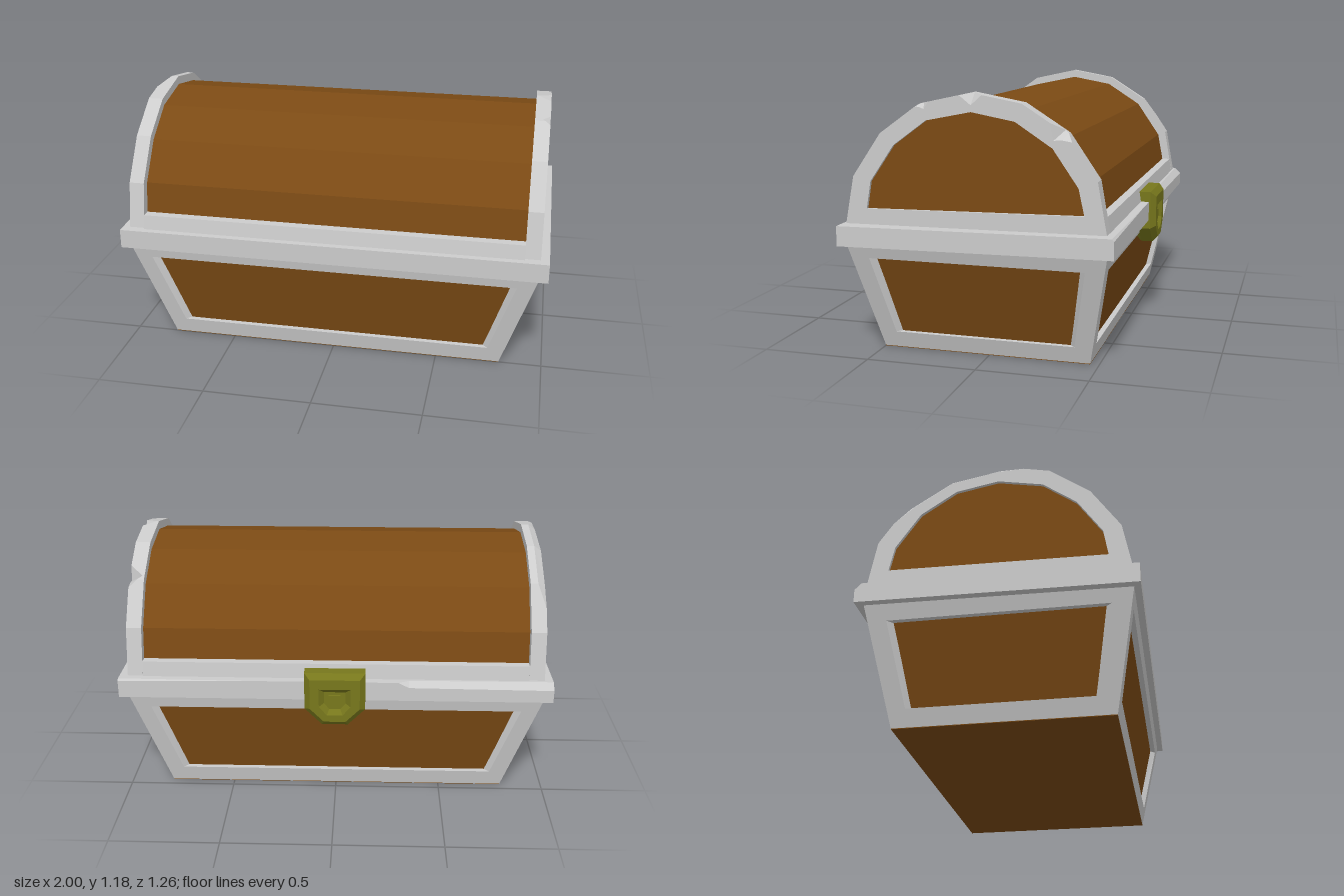
import * as THREE from 'three';

const paint = (color) => new THREE.MeshStandardMaterial({ color, flatShading: true });
const ZC = 0.02; // depth centre of the body, which sits slightly forward

// Lid outlines as [z, y], front to back: outer edge and inner edge of the end arches
const OUTER = [[0.6, 0.6], [0.56, 0.81], [0.43, 1.0], [0.25, 1.13], [0.02, 1.18], [-0.2, 1.14], [-0.39, 1.02], [-0.52, 0.83], [-0.56, 0.61]];
const INNER = [[0.5, 0.67], [0.48, 0.79], [0.37, 0.95], [0.22, 1.06], [0.02, 1.1], [-0.17, 1.065], [-0.33, 0.96], [-0.44, 0.8], [-0.465, 0.685]];
const mix = (p, q, t) => [p[0] + (q[0] - p[0]) * t, p[1] + (q[1] - p[1]) * t];
const along = (line, s) => {
  const i = Math.min(Math.floor(s), line.length - 2);
  return mix(line[i], line[i + 1], s - i);
};

function mesh(name, geometry, material) {
  const m = new THREE.Mesh(geometry, material);
  m.name = name;
  return m;
}

// Skin a list of equal cross-sections; closed joins last to first, otherwise ends are capped
function loft(rings, closed, flip = false) {
  const n = rings[0].length, count = rings.length, index = [];
  const tri = (a, b, c) => (flip ? index.push(a, c, b) : index.push(a, b, c));
  for (let i = 0; i < (closed ? count : count - 1); i++) {
    for (let j = 0; j < n; j++) {
      const k = (j + 1) % n, r = i * n, q = ((i + 1) % count) * n;
      tri(r + j, r + k, q + k);
      tri(r + j, q + k, q + j);
    }
  }
  if (!closed) {
    const e = (count - 1) * n;
    for (let j = 1; j < n - 1; j++) {
      tri(0, j + 1, j);
      tri(e, e + j, e + j + 1);
    }
  }
  const g = new THREE.BufferGeometry();
  g.setAttribute('position', new THREE.Float32BufferAttribute(rings.flat(2), 3));
  g.setIndex(index);
  const flat = g.toNonIndexed();
  flat.computeVertexNormals();
  return flat;
}

function reshape(geometry, rule) {
  const p = geometry.attributes.position, v = new THREE.Vector3();
  for (let i = 0; i < p.count; i++) {
    rule(v.fromBufferAttribute(p, i));
    p.setXYZ(i, v.x, v.y, v.z);
  }
  geometry.computeVertexNormals();
  return geometry;
}

const polygon = (points, Kind = THREE.Shape) => new Kind(points.map(([x, y]) => new THREE.Vector2(x, y)));

// Leaning trapezoid frame with an opening, mitred towards its neighbours
function sideFrame(halfW, spread, out, lean, low, high) {
  const y0 = 0.003, y1 = 0.53, D = 0.035;
  const shape = polygon([[-halfW, y0], [halfW, y0], [halfW + spread * y1, y1], [-halfW - spread * y1, y1]]);
  shape.holes.push(polygon([[-low, 0.08], [-high, 0.445], [high, 0.445], [low, 0.08]], THREE.Path));
  return reshape(new THREE.ExtrudeGeometry(shape, { depth: D, bevelEnabled: false }), (v) => {
    const k = D - v.z;
    v.x *= 1 - k / halfW;
    v.z = out + lean * v.y - k;
  });
}

// Extrude a [z, y] outline across the width
function acrossWidth(points, halfX) {
  const shape = polygon(points.map(([z, y]) => [-z, y]));
  const g = new THREE.ExtrudeGeometry(shape, { depth: halfX * 2, bevelEnabled: false });
  return g.translate(0, 0, -halfX).rotateY(Math.PI / 2);
}

// End arch of the lid; chips pare the outer edge: centre, reach, ramp, cut across, cut down
function lidArch(side, chips) {
  const stops = new Set(OUTER.map((_, i) => i));
  for (const c of chips) [-c.reach, c.ramp - c.reach, c.reach - c.ramp, c.reach].forEach((d) => stops.add(c.at + d));
  const rings = [...stops].sort((a, b) => a - b).map((s) => {
    let cutX = 0, cutY = 0;
    for (const c of chips) {
      const w = THREE.MathUtils.clamp((c.reach - Math.abs(s - c.at)) / c.ramp, 0, 1);
      cutX += w * c.across;
      cutY += w * c.down;
    }
    const o = along(OUTER, s), n = along(INNER, s), b = mix(o, n, cutY / 0.085);
    return [[0.89, o], [0.96 - cutX, o], [0.96, b], [0.96, n], [0.89, n]].map(([x, [z, y]]) => [side * x, y, z]);
  });
  return loft(rings, true, side < 0);
}

export function createModel() {
  const wood = paint(0x7b4a14), iron = paint(0xcccccc), brass = paint(0x77771c);
  const chest = new THREE.Group();
  chest.name = 'chest';

  // Body: wooden tub, floor and four leaning frames
  const body = new THREE.Group();
  body.name = 'body';
  body.position.z = ZC;
  const tub = reshape(new THREE.BoxGeometry(2, 0.5, 2).translate(0, 0.253, 0), (v) => {
    v.x *= 0.775 + 0.32 * v.y;
    v.z *= 0.455 + 0.2 * v.y;
  });
  body.add(mesh('bodyPanels', tub, wood));
  body.add(mesh('floor', new THREE.BoxGeometry(1.6, 0.003, 0.96).translate(0, 0.0015, 0), wood));
  const longFrame = sideFrame(0.8, 0.32, 0.48, 0.2, 0.745, 0.865);
  const endFrame = sideFrame(0.48, 0.2, 0.8, 0.32, 0.415, 0.485);
  ['frontFrame', 'leftFrame', 'backFrame', 'rightFrame'].forEach((name, i) => {
    const f = mesh(name, i % 2 ? endFrame : longFrame, iron);
    f.rotation.y = (i * Math.PI) / 2;
    body.add(f);
  });
  chest.add(body);

  // Rim: slightly tilted band with a worn back edge
  const rimRings = [[1, 0.01], [0.32, 0], [-0.29, 0], [-0.34, 0.025], [-1, 0.03]].map(([x, cut]) =>
    [[0.63, 0.503], [0.63, 0.593], [-0.598 + cut, 0.607], [-0.598, 0.607 - cut], [-0.598, 0.517]].map(([z, y]) => [x, y, z]));
  chest.add(mesh('rim', loft(rimRings, false), iron));

  // Lid: faceted barrel, base band and two chipped arches
  const lid = new THREE.Group();
  lid.name = 'lid';
  lid.add(mesh('lidBarrel', acrossWidth(OUTER.map((p, i) => mix(p, INNER[i], 0.5)), 0.945), wood));
  lid.add(mesh('lidBand', acrossWidth([[0.6, 0.59], [0.588, 0.66], [-0.548, 0.675], [-0.56, 0.6]], 0.89), iron));
  lid.add(mesh('leftArch', lidArch(1, [
    { at: 3.05, reach: 0.14, ramp: 0.14, across: 0.035, down: 0.03 },
    { at: 4, reach: 0.22, ramp: 0.22, across: 0.06, down: 0.055 },
    { at: 5.9, reach: 0.27, ramp: 0.27, across: 0.06, down: 0.055 },
  ]), iron));
  lid.add(mesh('rightArch', lidArch(-1, [{ at: 5, reach: 1.5, ramp: 0.5, across: 0.035, down: 0.03 }]), iron));
  chest.add(lid);

  // Lock: bevelled plate on the back with a recessed keyhole
  const lock = new THREE.Group();
  lock.name = 'lock';
  const keyhole = (k) => [[-0.05, 0.04], [0.05, 0.04], [0.05, -0.02], [0.025, -0.05], [-0.025, -0.05], [-0.05, -0.02]].map(([x, y]) => [x * k, y * k]);
  const plate = polygon([[-0.115, 0.105], [-0.115, -0.04], [-0.05, -0.105], [0.05, -0.105], [0.115, -0.04], [0.115, 0.105]]);
  plate.holes.push(polygon(keyhole(1.45), THREE.Path));
  lock.add(mesh('lockPlate', new THREE.ExtrudeGeometry(plate, {
    depth: 0.055, bevelThickness: 0.025, bevelSize: 0.025, bevelSegments: 1,
  }), brass));
  lock.add(mesh('lockBacking', new THREE.BoxGeometry(0.17, 0.16, 0.055).translate(0, 0, 0.03), brass));
  lock.add(mesh('keyholeBoss', new THREE.ExtrudeGeometry(polygon(keyhole(0.55)), { depth: 0.07, bevelEnabled: false }), brass));
  lock.position.set(0, 0.525, -0.55);
  lock.rotation.y = Math.PI;
  chest.add(lock);

  return chest;
}
